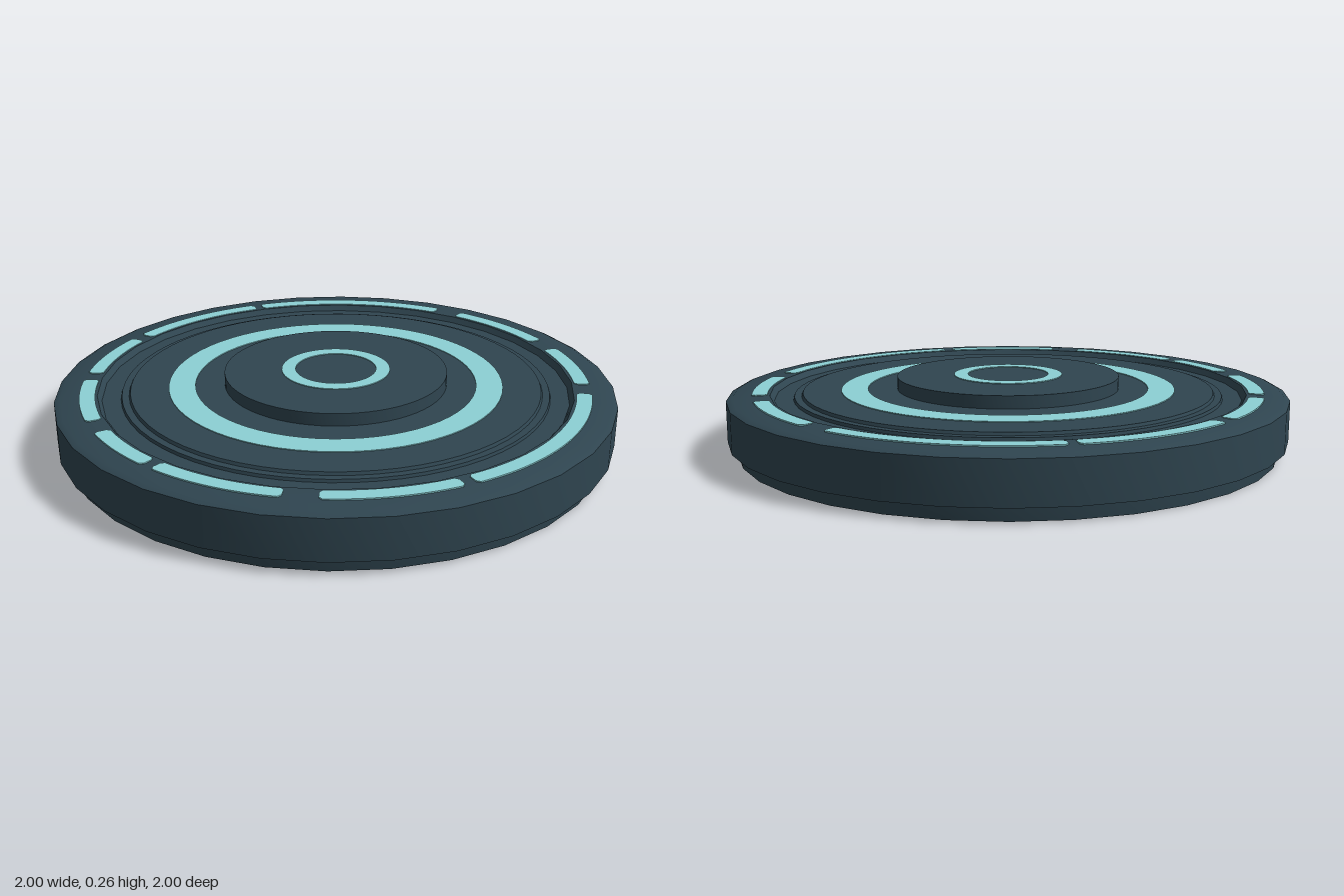
import * as THREE from 'three';
import { toCreasedNormals } from 'three/addons/utils/BufferGeometryUtils.js';

export function createModel() {
  const group = new THREE.Group();
  const darkMetal = new THREE.MeshStandardMaterial({ color: 0x2f4550 });
  darkMetal.name = 'darkMetal';
  const glow = new THREE.MeshStandardMaterial({ color: 0x8cd0d5 });
  glow.name = 'paleCyanLight';

  const add = (name, geometry, material) => {
    const mesh = new THREE.Mesh(geometry, material);
    mesh.name = name;
    group.add(mesh);
  };

  // Turned part from a bottom-to-top profile of [radius, y]
  const turned = (name, profile, segments) => {
    const points = profile.map(([r, y]) => new THREE.Vector2(r, y));
    add(name, toCreasedNormals(new THREE.LatheGeometry(points, segments), 0.5), darkMetal);
  };

  // Thin light plate following an arc, its upper face at height y
  const lightArc = (name, inner, outer, from, to, y) => {
    const a = THREE.MathUtils.degToRad(from);
    const b = THREE.MathUtils.degToRad(to);
    const shape = new THREE.Shape();
    if (to - from >= 360) {
      shape.absarc(0, 0, outer, 0, Math.PI * 2, false);
      const hole = new THREE.Path();
      hole.absarc(0, 0, inner, 0, Math.PI * 2, true);
      shape.holes.push(hole);
    } else {
      // Small cut corners at both ends
      const c = 0.012;
      shape.absarc(0, 0, outer, a + c, b - c, false);
      shape.absarc(0, 0, outer - c, b, b, false);
      shape.absarc(0, 0, inner + c, b, b, false);
      shape.absarc(0, 0, inner, b - c, a + c, true);
      shape.absarc(0, 0, inner + c, a, a, true);
      shape.absarc(0, 0, outer - c, a, a, true);
    }
    const geometry = new THREE.ExtrudeGeometry(shape, { depth: 0.005, bevelEnabled: false, curveSegments: 32 });
    geometry.rotateX(Math.PI / 2).translate(0, y, 0);
    add(name, geometry, glow);
  };

  // Base with recessed underside, outer rim and the channel inside it
  turned('baseAndRim', [
    [0, 0.008], [0.87, 0.008], [0.88, 0], [0.965, 0], [0.97, 0.05], [1, 0.05],
    [1, 0.195], [0.98, 0.205], [0.85, 0.21], [0.835, 0.19], [0, 0.19],
  ], 32);

  // Inner deck with a stepped edge, and the raised centre disc
  turned('deck', [[0.77, 0.185], [0.765, 0.2], [0.74, 0.2], [0.735, 0.21], [0, 0.21]], 64);
  turned('centreDisc', [[0.4, 0.2], [0.4, 0.255], [0, 0.255]], 64);

  // Continuous light rings
  lightArc('deckLightRing', 0.505, 0.6, 0, 360, 0.213);
  lightArc('centreLightRing', 0.145, 0.195, 0, 360, 0.258);

  // Rim light strips of uneven length, angles from +x towards +z
  const strips = [
    [-11, 12.5], [18, 72], [74.5, 103], [110, 138.5], [141, 160],
    [166, 190], [194, 218], [221.5, 257], [259, 308.5], [315, 342.5],
  ];
  strips.forEach(([from, to], i) => lightArc(`rimLight${i + 1}`, 0.857, 0.912, from, to, 0.212));

  return group;
}
